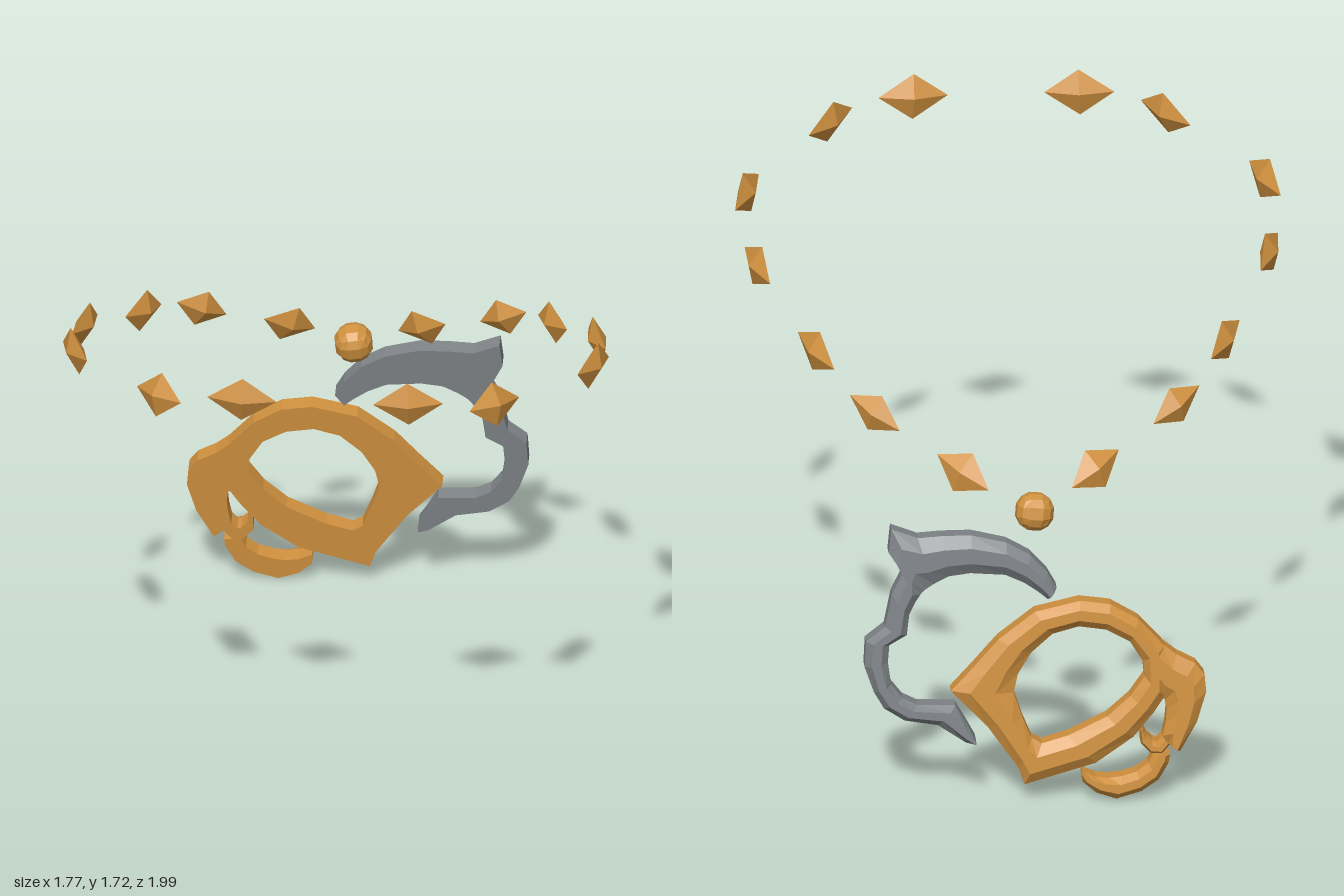
import * as THREE from 'three';

const gold = new THREE.MeshStandardMaterial({ color: 0xd0913f });
gold.name = 'gold';
const grey = new THREE.MeshStandardMaterial({ color: 0x7f8488 });
grey.name = 'steel grey';

const WALL = 0.06, DEPTH = 0.085, LEAN = 0.116;

// Point of the leaning pendant: front outline (x, y) pushed back by d
const place = (x, y, d) => [x, y + LEAN * d, -0.916 + LEAN * y - d];

// Band between an outer and an inner outline (rows: outer x, y, inner x, y, clockwise),
// flat in front, straight walls, bevelled towards a narrow flat back
function band(name, rows, material, closed = false) {
  const sections = rows.map(([ox, oy, ix, iy]) => {
    const at = (t, d) => place(ox + (ix - ox) * t, oy + (iy - oy) * t, d);
    return [at(0, 0), at(1, 0), at(1, WALL), at(0.7, DEPTH), at(0.3, DEPTH), at(0, WALL)];
  });
  const pos = [];
  const tri = (a, b, c) => pos.push(...a, ...b, ...c);
  const n = sections.length;
  for (let i = 0; i < (closed ? n : n - 1); i++) {
    const s = sections[i], e = sections[(i + 1) % n];
    for (let k = 0; k < 6; k++) {
      const m = (k + 1) % 6;
      tri(s[k], s[m], e[m]);
      tri(s[k], e[m], e[k]);
    }
  }
  if (!closed) {
    const s = sections[0], e = sections[n - 1];
    for (let k = 1; k < 5; k++) {
      tri(s[0], s[k + 1], s[k]);
      tri(e[0], e[k], e[k + 1]);
    }
  }
  const geo = new THREE.BufferGeometry();
  geo.setAttribute('position', new THREE.Float32BufferAttribute(pos, 3));
  geo.computeVertexNormals();
  const mesh = new THREE.Mesh(geo, material);
  mesh.name = name;
  return mesh;
}

// Flat diamond bead: centre, long axis and upright axis (full lengths)
function bead(name, c, long, tall, side) {
  const flip = ([x, y, z]) => new THREE.Vector3(x * side, y, z);
  const t = flip(long).multiplyScalar(0.5), u = flip(tall).multiplyScalar(0.5);
  const thin = new THREE.Vector3().crossVectors(t, u).setLength(0.031);
  const m = new THREE.Matrix4().makeBasis(t, u, thin).setPosition(flip(c));
  const mesh = new THREE.Mesh(new THREE.OctahedronGeometry(1).applyMatrix4(m), gold);
  mesh.name = name;
  return mesh;
}

// Faceted ball made from a rounded-out cube
function ball(radius) {
  let geo = new THREE.BoxGeometry(1, 1, 1, 3, 3, 3);
  const p = geo.attributes.position, v = new THREE.Vector3();
  for (let i = 0; i < p.count; i++) {
    v.fromBufferAttribute(p, i).setLength(radius);
    p.setXYZ(i, v.x, v.y, v.z);
  }
  geo = geo.toNonIndexed();
  geo.computeVertexNormals();
  return geo;
}

export function createModel() {
  const model = new THREE.Group();
  model.name = 'necklace';

  // Beads of one half of the necklace, front to pendant
  const beads = [
    [[0.27, 1.65, 0.957], [0.227, 0.003, -0.016], [0.005, -0.156, -0.01]],
    [[0.545, 1.61, 0.865], [0.152, -0.024, -0.155], [0.019, -0.15, 0.02]],
    [[0.842, 1.55, 0.466], [-0.09, 0.036, 0.2], [-0.03, -0.152, 0.035]],
    [[0.832, 1.455, 0.1], [0.069, 0.037, 0.21], [0.03, -0.144, 0.032]],
    [[0.665, 1.315, -0.27], [0.106, 0.05, 0.19], [0.024, -0.142, 0.021]],
    [[0.49, 1.2, -0.515], [0.156, 0.09, 0.095], [0.047, -0.12, 0.005]],
    [[0.215, 1.06, -0.69], [0.16, 0.085, 0.106], [0.066, -0.125, -0.016]],
  ];
  const chain = new THREE.Group();
  chain.name = 'beads';
  for (const [label, side] of [['left', 1], ['right', -1]])
    beads.forEach(([c, t, u], i) => chain.add(bead(`${label}Bead${i + 1}`, c, t, u, side)));
  model.add(chain);

  // Round bead above the pendant
  const round = new THREE.Mesh(ball(0.066), gold);
  round.name = 'roundBead';
  round.position.set(-0.012, 0.953, -0.775);
  round.rotation.set(0.25, 0.1, 0.1);
  model.add(round);

  const pendant = new THREE.Group();
  pendant.name = 'pendant';

  // Pointed gold ring
  pendant.add(band('ring', [
    [-0.427, 0.517, -0.355, 0.469], [-0.341, 0.611, -0.313, 0.536],
    [-0.251, 0.664, -0.237, 0.578], [-0.152, 0.678, -0.147, 0.592],
    [-0.005, 0.645, -0.062, 0.569], [0.114, 0.555, 0.009, 0.507],
    [0.199, 0.46, 0.052, 0.436], [0.27, 0.384, 0.066, 0.374],
    [0.152, 0.261, 0.038, 0.289], [0.052, 0.118, 0.009, 0.218],
    [0.033, 0.062, -0.024, 0.199], [-0.199, 0.128, -0.109, 0.223],
    [-0.322, 0.213, -0.237, 0.284], [-0.389, 0.294, -0.313, 0.351],
    [-0.427, 0.351, -0.36, 0.417],
  ], gold, true));

  // Wing on the ring's side
  pendant.add(band('wing', [
    [-0.474, 0.161, -0.436, 0.19], [-0.53, 0.26, -0.417, 0.213],
    [-0.56, 0.36, -0.427, 0.26], [-0.555, 0.417, -0.431, 0.303],
    [-0.526, 0.455, -0.427, 0.336], [-0.464, 0.488, -0.412, 0.346],
    [-0.417, 0.526, -0.379, 0.403],
  ], gold));

  // Small hook at the wing's lower end
  pendant.add(band('hook', [
    [-0.346, 0.235, -0.352, 0.242], [-0.346, 0.19, -0.365, 0.218],
    [-0.379, 0.156, -0.384, 0.199], [-0.417, 0.156, -0.398, 0.194],
    [-0.441, 0.185, -0.417, 0.213],
  ], gold));

  // Crescent below the ring
  pendant.add(band('crescent', [
    [-0.152, 0.092, -0.156, 0.1], [-0.156, 0.066, -0.199, 0.081],
    [-0.199, 0.028, -0.242, 0.076], [-0.265, 0.005, -0.284, 0.081],
    [-0.346, 0.028, -0.332, 0.095], [-0.403, 0.066, -0.37, 0.123],
    [-0.436, 0.123, -0.384, 0.153], [-0.441, 0.15, -0.39, 0.158],
  ], gold));

  // Horned grey arc around the ring
  pendant.add(band('hornedArc', [
    [-0.076, 0.725, -0.047, 0.687], [-0.047, 0.777, -0.019, 0.711],
    [0.009, 0.839, 0.028, 0.744], [0.085, 0.882, 0.09, 0.773],
    [0.199, 0.91, 0.204, 0.782], [0.294, 0.91, 0.275, 0.773],
    [0.374, 0.905, 0.322, 0.749], [0.46, 0.938, 0.351, 0.73],
    [0.469, 0.858, 0.365, 0.716], [0.422, 0.791, 0.384, 0.687],
    [0.46, 0.716, 0.403, 0.649], [0.483, 0.607, 0.412, 0.578],
    [0.545, 0.559, 0.469, 0.545], [0.55, 0.474, 0.474, 0.488],
    [0.521, 0.389, 0.464, 0.412], [0.488, 0.332, 0.427, 0.365],
    [0.422, 0.289, 0.379, 0.341], [0.313, 0.27, 0.256, 0.336],
    [0.223, 0.209, 0.218, 0.27], [0.19, 0.199, 0.19, 0.218],
  ], grey));

  model.add(pendant);
  return model;
}
